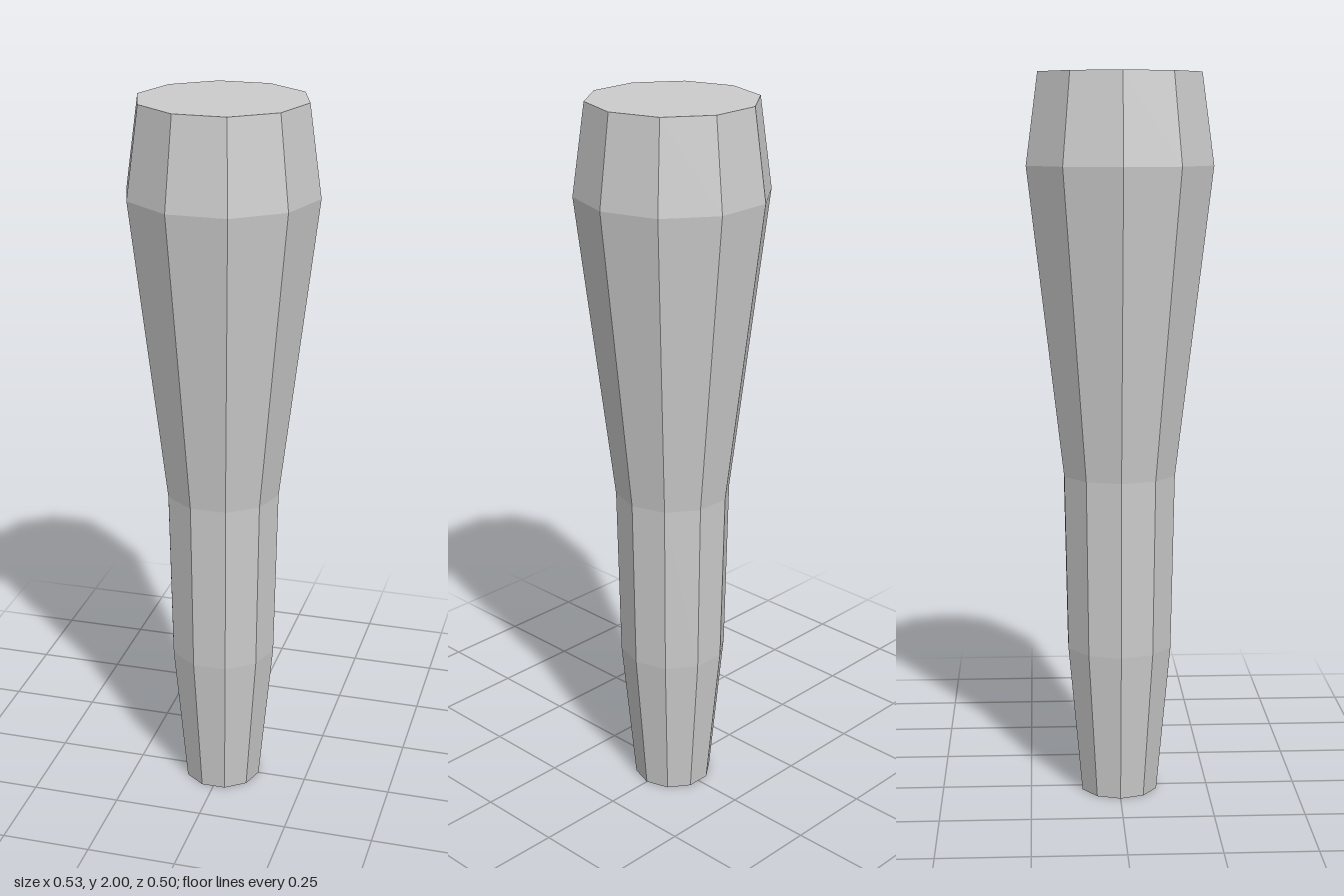
import * as THREE from 'three';

export function createModel() {
  const group = new THREE.Group();

  // Profile as [radius, height], closed on the axis at both ends
  const profile = [
    [0, 0], [0.11, 0], [0.15, 0.42], [0.16, 0.91],
    [0.263, 1.755], [0.229, 2], [0, 2],
  ].map(([r, y]) => new THREE.Vector2(r, y));

  // Ten-sided tapered handle with corners on the x axis
  const handle = new THREE.Mesh(
    new THREE.LatheGeometry(profile, 10, Math.PI / 2),
    new THREE.MeshStandardMaterial({ color: 0xcccccc, flatShading: true })
  );
  handle.name = 'taperedHandle';
  group.add(handle);

  return group;
}
